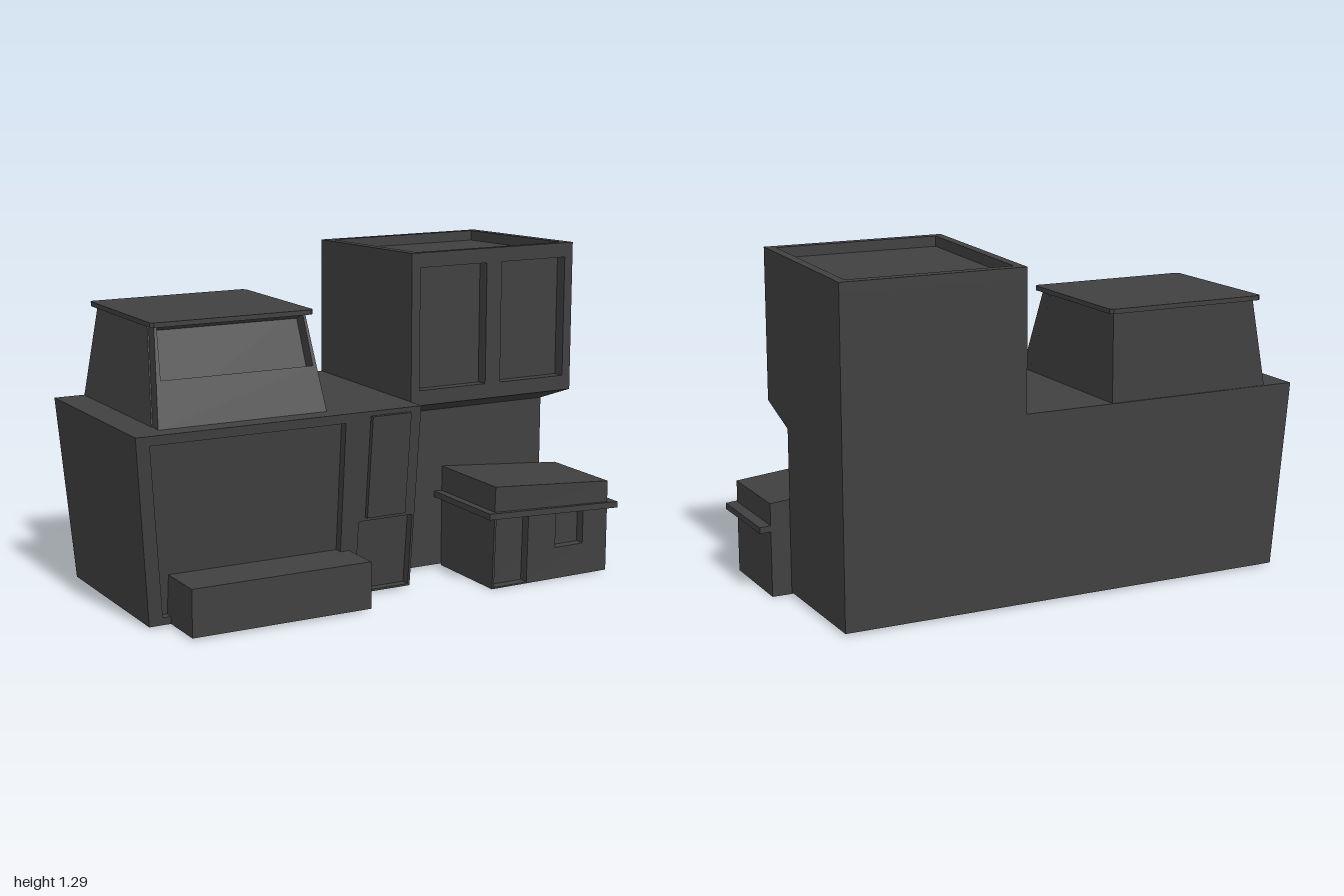
import * as THREE from 'three';

const material = new THREE.MeshStandardMaterial({ color: 0x404040, flatShading: true });

export function createModel() {
  const model = new THREE.Group();

  const add = (name, geometry) => {
    const mesh = new THREE.Mesh(geometry, material);
    mesh.name = name;
    model.add(mesh);
    return mesh;
  };

  // Move every vertex by a rule
  const warp = (geometry, rule) => {
    const p = geometry.attributes.position;
    for (let i = 0; i < p.count; i++) p.setXYZ(i, ...rule(p.getX(i), p.getY(i), p.getZ(i)));
    geometry.computeVertexNormals();
    return geometry;
  };

  // Unit cube (0..1 on each axis) bent into a skewed block
  const block = (name, rule) =>
    add(name, warp(new THREE.BoxGeometry(1, 1, 1).translate(0.5, 0.5, 0.5), rule));

  const mix = THREE.MathUtils.lerp;
  const points = (list) => list.map(([x, y]) => new THREE.Vector2(x, y));
  const rect = (x0, x1, y0, y1) => [[x0, y0], [x1, y0], [x1, y1], [x0, y1]];

  // Plate with openings; the outer face lies at local z = 0
  const frame = (name, outline, holes, depth, rule) => {
    const shape = new THREE.Shape(points(outline));
    shape.holes = holes.map((h) => new THREE.Path(points(h)));
    const geometry = new THREE.ExtrudeGeometry(shape, { depth, bevelEnabled: false });
    return add(name, warp(geometry.translate(0, 0, -depth), rule));
  };

  // Low wing with leaning front and side walls
  const base = 0.007;
  const wingFront = (y) => 0.262 + 0.108 * (y - base);
  block('wingBody', (u, v, w) => {
    const y = mix(base, 0.728, v);
    return [mix(mix(-0.93, -1, v), 0.155, u), y, mix(-0.457, wingFront(y) - 0.035, w)];
  });
  frame('wingFront',
    [[-0.93, base], [0.155, base], [0.155, 0.728], [-1, 0.728]],
    [[[-0.878, 0.036], [-0.156, 0.036], [-0.164, 0.692], [-0.945, 0.692]],
      rect(-0.086, 0.146, 0.015, 0.298)],
    0.035, (x, y, z) => [x, y, wingFront(y) + z]);
  block('doorPanel', (u, v, w) => {
    const y = mix(0.313, 0.71, v);
    return [mix(-0.06, 0.104, u), y, wingFront(y) + mix(-0.01, 0.018, w)];
  });
  block('planter', (u, v, w) => [mix(-0.845, -0.12, u), mix(base, 0.188, v), mix(0.2, 0.451, w)]);

  // Rooftop cabin with a sloping front window, set just inside the back wall
  const cabinFront = (y) => 0.262 - 0.5 * (y - 0.728);
  block('cabinBody', (u, v, w) => {
    const y = mix(0.728, 1.077, v);
    return [mix(mix(-0.88, -0.815, v), -0.205, u), y, mix(-0.452, cabinFront(y) - 0.0615, w)];
  });
  frame('cabinFront',
    [[-0.88, 0.728], [-0.205, 0.728], [-0.205, 1.077], [-0.815, 1.077]],
    [[[-0.833, 0.888], [-0.22, 0.888], [-0.215, 1.07], [-0.806, 1.07]]],
    0.055, (x, y, z) => [x, y + 0.447 * z, cabinFront(y) + 0.894 * z]);

  // Cabin roof slab with clipped corners
  const c = 0.013;
  frame('cabinRoof',
    [[-0.84 + c, -0.12], [-0.181 - c, -0.12], [-0.181, -0.12 + c], [-0.181, 0.475 - c],
      [-0.181 - c, 0.475], [-0.84 + c, 0.475], [-0.84, 0.475 - c], [-0.84, -0.12 + c]],
    [], 0.018, (x, y, z) => [x, 1.087 + z, -y]);

  // Tower with an overhanging upper floor, extruded across from its side profile
  const roofY = (z) => 1.283 + 0.035 * z;
  const rim = 0.04;
  const profile = [
    [-0.457, base], [0.065, base], [0.065, 0.64], [0.264, 0.71], [0.264, 0.76],
    [0.214, 0.76], [0.214, roofY(0.214) - rim], [-0.457, roofY(-0.457) - rim],
  ];
  const tower = add('towerBody',
    new THREE.ExtrudeGeometry(new THREE.Shape(points(profile.map(([z, y]) => [-z, y]))),
      { depth: 0.725, bevelEnabled: false }));
  tower.rotation.y = Math.PI / 2;
  tower.position.x = 0.155;
  frame('towerWindows', rect(0.155, 0.88, 0.76, roofY(0.264) - rim),
    [rect(0.192, 0.486, 0.768, 1.236), rect(0.553, 0.844, 0.768, 1.236)],
    0.05, (x, y, z) => [x, y + 0.035 * z, 0.264 + z]);
  frame('towerParapet', rect(0.155, 0.88, -0.264, 0.457), [rect(0.192, 0.844, -0.231, 0.42)],
    rim, (x, y, z) => [x, roofY(-y) + z, -y]);

  // Small kiosk with a slanted roof and a slightly turned, leaning front
  const kioskTop = (x) => 0.408 - 0.083 * (x - 0.417);
  const kioskFront = (x, y) => 0.431 + (0.957 - x) * (0.018 + 0.074 * y);
  block('kioskBody', (u, v, w) => {
    const x = mix(0.417, 0.957, u);
    const y = v * kioskTop(x);
    return [x, y, mix(0.065, kioskFront(x, y) - 0.04, w)];
  });
  frame('kioskFront',
    [[0.417, 0], [0.957, 0], [0.957, kioskTop(0.957)], [0.417, kioskTop(0.417)]],
    [rect(0.426, 0.577, 0.006, 0.283), rect(0.708, 0.84, 0.126, 0.266)],
    0.04, (x, y, z) => [x, y, kioskFront(x, y) + z]);
  block('kioskAwning', (u, v, w) => [
    mix(0.382, 1, u),
    mix(0.286, 0.252, u) + 0.024 * v,
    mix(0.065, mix(0.474, 0.442, u), w),
  ]);

  return model;
}
